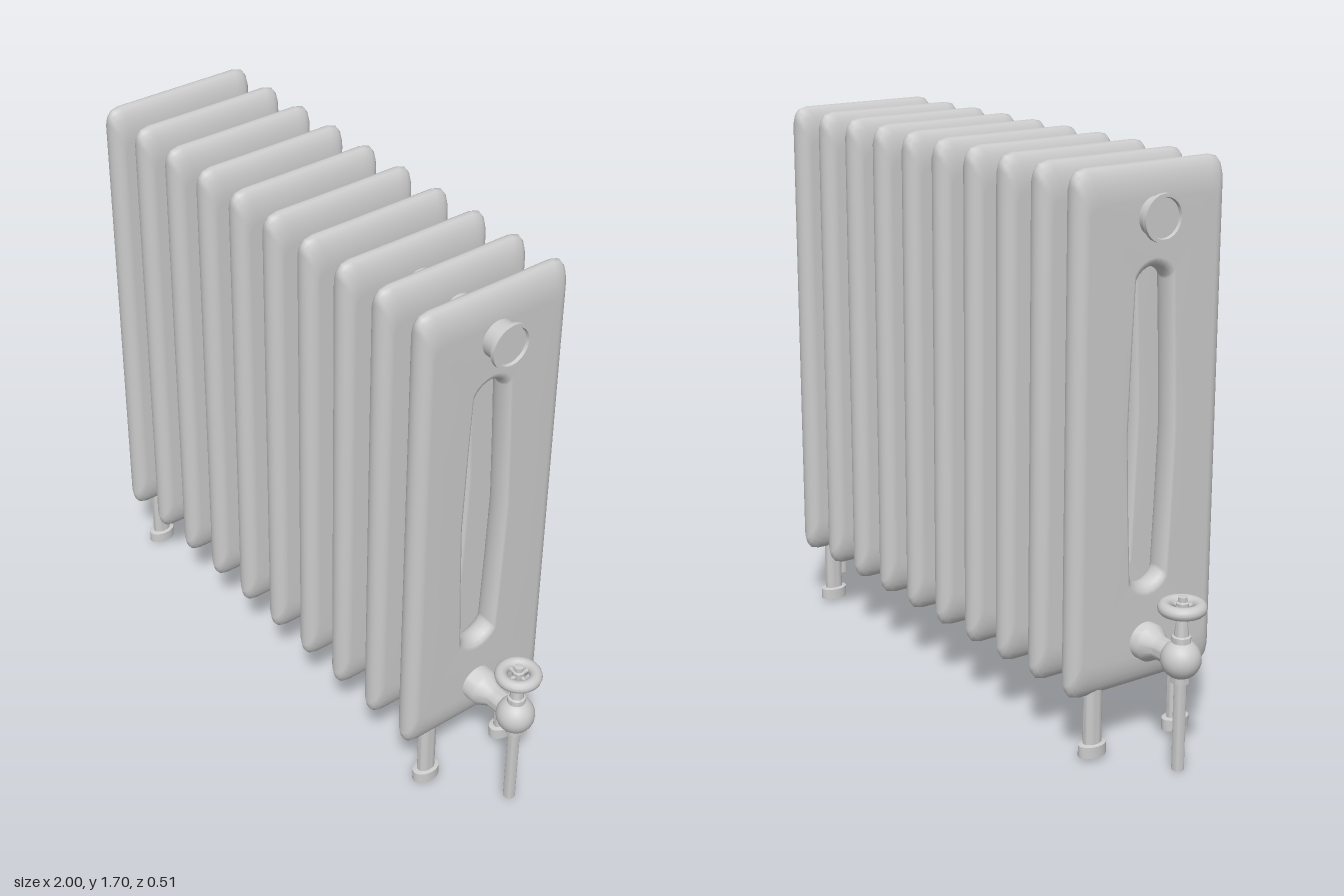
import * as THREE from 'three';
import { toCreasedNormals } from 'three/addons/utils/BufferGeometryUtils.js';

const material = new THREE.MeshStandardMaterial({ color: 0xcccccc });

function add(parent, name, geometry, x = 0, y = 0, z = 0) {
  const mesh = new THREE.Mesh(geometry, material);
  mesh.name = name;
  mesh.position.set(x, y, z);
  parent.add(mesh);
  return mesh;
}

// Turned part from [radius, height] pairs
function turned(profile, sides = 24) {
  const points = profile.map(([r, h]) => new THREE.Vector2(r, h));
  return toCreasedNormals(new THREE.LatheGeometry(points, sides), 0.6);
}

// Mirrors a quarter outline (from +z to +y) into a closed loop
function mirrorQuarter(q) {
  const n = q.length;
  const half = [...q, ...q.slice(0, n - 1).reverse().map(([z, y]) => [-z, y])];
  return [...half, ...half.slice(1, -1).reverse().map(([z, y]) => [z, -y])];
}

// Flat hollow column: rounded outer rim, side faces and a rounded slot rim
function columnGeometry() {
  const W = 0.255, H = 0.75, T = 0.0385, hw = 0.071, hh = 0.457, steps = 12;
  const outer = mirrorQuarter([[W, 0], [W, 0.35], [W, 0.705], [0.25, 0.727], [0.238, 0.743], [0.212, H], [0.1, H], [0, H]]);
  const slot = mirrorQuarter([[hw, 0], [0.064, 0.22], [0.056, 0.415], [0.052, 0.424], [0.044, 0.436], [0.032, 0.446], [0.016, 0.454], [0, hh]]);
  const n = outer.length, loops = [];
  for (let i = 0; i <= steps; i++) {
    const a = (i / steps - 0.5) * Math.PI, k = 1 - Math.cos(a);
    loops.push(outer.map(([z, y]) => [T * Math.sin(a), 0.95 + y * (1 - 0.1 * k / H), z * (1 - 0.038 * k / W)]));
  }
  for (let i = 0; i <= 8; i++) {
    const a = (0.5 - i / 8) * Math.PI, k = 1 - Math.cos(a);
    loops.push(slot.map(([z, y]) => [T * Math.sin(a), 0.957 + y * (1 + 0.03 * k / hh), 0.007 + z * (1 + 0.02 * k / hw)]));
  }
  const index = [];
  for (let i = 0; i < loops.length; i++) {
    const p = i * n, q = ((i + 1) % loops.length) * n;
    for (let j = 0; j < n; j++) {
      const m = (j + 1) % n;
      index.push(p + j, q + j, q + m, p + j, q + m, p + m);
    }
  }
  const geometry = new THREE.BufferGeometry();
  geometry.setAttribute('position', new THREE.Float32BufferAttribute(loops.flat(2), 3));
  geometry.setIndex(index);
  geometry.computeVertexNormals();
  return geometry;
}

// Valve with supply pipe, ball body, spindle and spoked handwheel
function createValve(name, x) {
  const valve = new THREE.Group();
  valve.name = name;
  valve.position.x = x;
  add(valve, 'supplyPipe', turned([[0, 0], [0.018, 0], [0.018, 0.268], [0.027, 0.268], [0.027, 0.288], [0, 0.288]]));
  add(valve, 'valveBody', new THREE.SphereGeometry(0.058, 24, 16), 0, 0.337, 0);
  add(valve, 'spindle', turned([[0, 0.385], [0.027, 0.385], [0.027, 0.405], [0.021, 0.408], [0.014, 0.465], [0.018, 0.472],
    [0.018, 0.505], [0.013, 0.508], [0.013, 0.522], [0, 0.526]]));
  add(valve, 'handwheel', new THREE.TorusGeometry(0.051, 0.019, 12, 32), 0, 0.49, 0).rotation.x = Math.PI / 2;
  for (let i = 0; i < 2; i++) {
    const spoke = add(valve, 'wheelSpoke', new THREE.CylinderGeometry(0.007, 0.007, 0.1, 8), 0, 0.49, 0);
    spoke.rotation.set(Math.PI / 2, 0, i * Math.PI / 2);
  }
  return valve;
}

export function createModel() {
  const radiator = new THREE.Group();
  radiator.name = 'radiator';

  // Row of ten columns
  const count = 10, spacing = 0.1615, shift = -0.007;
  const column = columnGeometry();
  const columnX = (i) => shift + (i - (count - 1) / 2) * spacing;
  for (let i = 0; i < count; i++) add(radiator, 'column', column, columnX(i));

  // Upper pipe with recessed end flanges
  const upperPipe = turned([[0, -0.798], [0.055, -0.798], [0.055, 0.798], [0, 0.798]], 32);
  add(radiator, 'upperPipe', upperPipe, 0, 1.557).rotation.z = -Math.PI / 2;
  const flange = turned([[0.05, 0.798], [0.067, 0.802], [0.067, 0.815], [0.057, 0.815], [0.055, 0.805], [0, 0.805]], 32);
  // Lower pipe narrowing into the valves
  const lowerPipe = turned([[0.034, -0.93], [0.034, -0.855], [0.034, -0.838], [0.052, -0.805], [0.055, -0.8],
    [0.055, 0.8], [0.052, 0.805], [0.034, 0.838], [0.034, 0.855], [0.034, 0.93]], 32);
  add(radiator, 'lowerPipe', lowerPipe, 0, 0.337).rotation.z = -Math.PI / 2;

  // Oval legs with feet under the end columns
  const leg = turned([[0, 0.01], [0.045, 0.01], [0.045, 0.045], [0.03, 0.048], [0.03, 0.24], [0, 0.24]]);
  leg.scale(0.68, 1, 1);

  for (const side of [-1, 1]) {
    const label = side > 0 ? 'left' : 'right';
    add(radiator, label + 'EndCap', flange, 0, 1.557).rotation.z = -side * Math.PI / 2;
    radiator.add(createValve(label + 'Valve', side * 0.93));
    for (const z of [-0.154, 0.154]) add(radiator, label + 'Leg', leg, columnX(side > 0 ? count - 1 : 0), 0, z);
  }
  return radiator;
}
